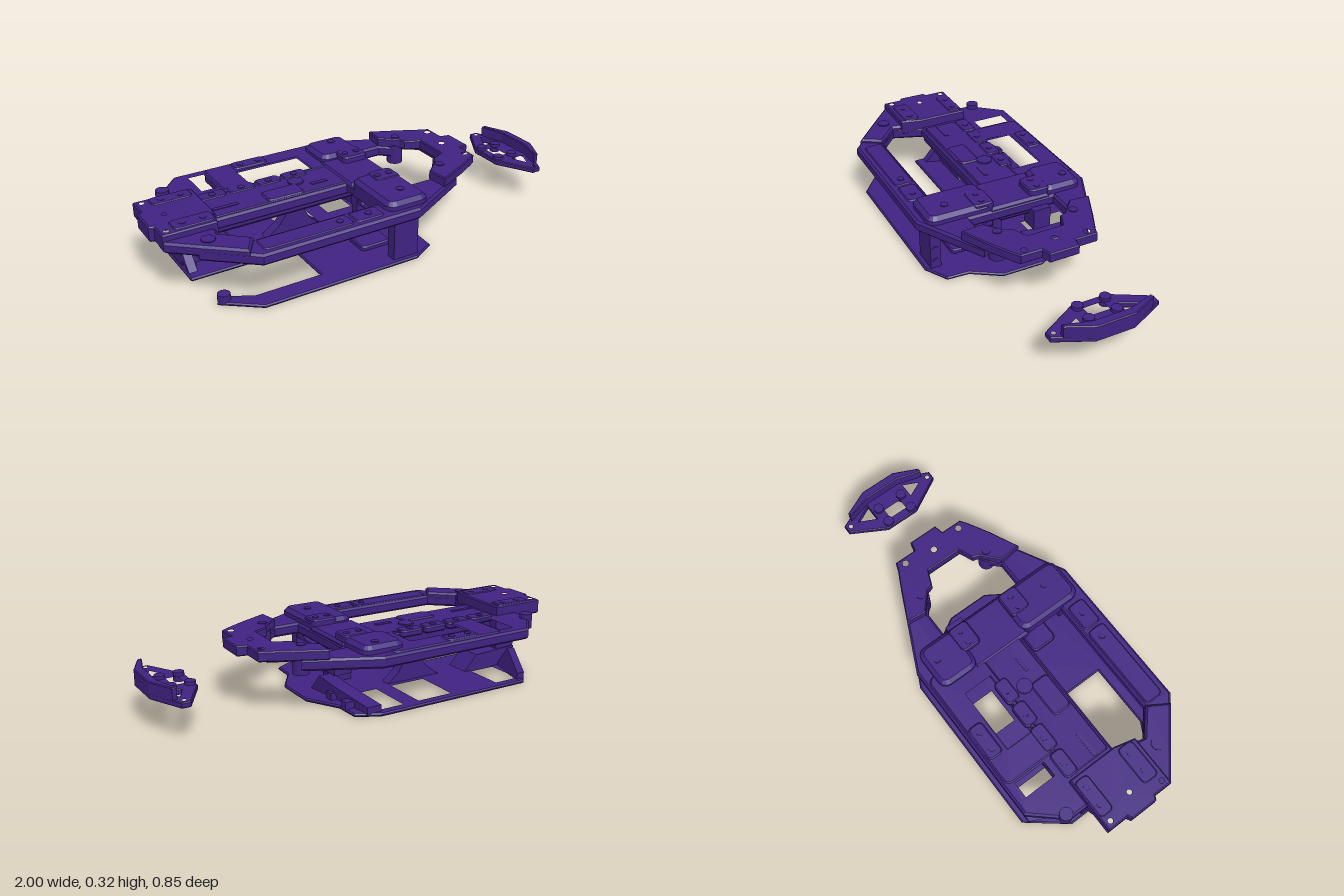
import * as THREE from 'three';

export function createModel() {
  const root = new THREE.Group();
  root.name = 'chassis';
  const purple = new THREE.MeshStandardMaterial({ color: 0x3f2280 });
  purple.name = 'purple';

  const add = (name, geo) => {
    const m = new THREE.Mesh(geo, purple);
    m.name = name;
    root.add(m);
    return m;
  };
  // polygon path from [a, b] pairs
  const trace = (path, pts) => {
    pts.forEach(([a, b], i) => (i ? path.lineTo(a, b) : path.moveTo(a, b)));
    path.closePath();
    return path;
  };
  const rect = (x0, x1, z0, z1) => [[x0, z0], [x1, z0], [x1, z1], [x0, z1]];
  const disc = (x, z, r, n = 12) => Array.from({ length: n }, (_, i) => {
    const a = (i / n) * Math.PI * 2;
    return [x + r * Math.cos(a), z + r * Math.sin(a)];
  });
  // rectangle with rounded corners
  const rounded = (x0, x1, z0, z1, r) => {
    const pts = [];
    [[x1 - r, z1 - r], [x0 + r, z1 - r], [x0 + r, z0 + r], [x1 - r, z0 + r]].forEach(([x, z], q) => {
      for (let i = 0; i <= 3; i++) {
        const a = (q + i / 3) * Math.PI / 2;
        pts.push([x + r * Math.cos(a), z + r * Math.sin(a)]);
      }
    });
    return pts;
  };
  // horizontal plate with an outline in x, z and chamfered edges
  const slab = (name, pts, y0, y1, holes = [], bevel = 0.006) => {
    const flip = (p) => p.map(([x, z]) => [x, -z]);
    const shape = trace(new THREE.Shape(), flip(pts));
    shape.holes = holes.map((h) => trace(new THREE.Path(), flip(h)));
    const geo = new THREE.ExtrudeGeometry(shape, {
      depth: y1 - y0 - 2 * bevel, bevelEnabled: true, bevelThickness: bevel,
      bevelSize: bevel, bevelOffset: -bevel, bevelSegments: 1,
    });
    geo.rotateX(-Math.PI / 2).translate(0, y0 + bevel, 0);
    return add(name, geo);
  };
  // upright plate with an outline in x, y
  const wallXY = (name, pts, z0, z1) => {
    const geo = new THREE.ExtrudeGeometry(trace(new THREE.Shape(), pts), { depth: z1 - z0, bevelEnabled: false });
    return add(name, geo.translate(0, 0, z0));
  };
  // upright plate with an outline in z, y
  const wallZY = (name, pts, x0, x1) => {
    const shape = trace(new THREE.Shape(), pts.map(([z, y]) => [-z, y]));
    const geo = new THREE.ExtrudeGeometry(shape, { depth: x1 - x0, bevelEnabled: false });
    return add(name, geo.rotateY(Math.PI / 2).translate(x0, 0, 0));
  };
  const box = (name, x0, x1, y0, y1, z0, z1) => {
    const geo = new THREE.BoxGeometry(x1 - x0, y1 - y0, z1 - z0);
    return add(name, geo.translate((x0 + x1) / 2, (y0 + y1) / 2, (z0 + z1) / 2));
  };
  const post = (name, x, z, r, y0, y1) =>
    add(name, new THREE.CylinderGeometry(r, r, y1 - y0, 20).translate(x, (y0 + y1) / 2, z));

  // Lower skid plate with one front rail and rear windows
  slab('lowerPlate', [[-0.84, -0.25], [-0.7, -0.425], [0.09, -0.425], [0.2, -0.37], [0.205, -0.25], [0.29, -0.1],
    [0.29, 0.1], [0.205, 0.23], [0.2, 0.335], [0.09, 0.395], [-0.66, 0.395], [-0.82, 0.27], [-0.77, 0.24],
    [-0.66, 0.3], [-0.35, 0.3], [-0.35, 0.05], [-0.84, 0.05]], 0, 0.016,
  [rect(-0.7, -0.56, -0.39, -0.17), rect(-0.31, -0.12, -0.39, -0.16), rect(-0.05, 0.09, -0.39, -0.16)], 0.006);
  post('railEndPost', -0.785, 0.265, 0.028, 0.01, 0.045);
  slab('lowerRib', rounded(-0.1, 0.05, 0.11, 0.24, 0.02), 0.012, 0.038);

  // Wedge walls at the rear of the lower plate, following its tapered corners
  const wedge = [[0.01, 0.01], [-0.07, 0.097], [-0.2, 0.088], [-0.4, 0.045], [-0.4, 0.01]];
  for (const [name, x0, x1, lean] of [['rightWedge', 0.13, 0.2, 0.25], ['leftWedge', -0.83, -0.79, -0.55]]) {
    const pos = wallZY(name, wedge, x0, x1).geometry.attributes.position;
    for (let i = 0; i < pos.count; i++)
      pos.setX(i, pos.getX(i) + lean * Math.min(0, pos.getZ(i) + 0.2));
  }
  wallXY('leftLowerBlock', [[-0.83, 0.01], [-0.53, 0.01], [-0.6, 0.09], [-0.83, 0.1]], -0.19, -0.07);
  for (const z of [-0.165, -0.29]) box('wedgeRib', 0.11, 0.205, 0.01, 0.05, z - 0.02, z + 0.02);

  // Flared strut under the tray
  wallXY('centreStrut', [[-0.42, 0.01], [-0.12, 0.01], [-0.185, 0.065], [-0.21, 0.11], [-0.21, 0.2],
    [-0.31, 0.2], [-0.31, 0.11], [-0.345, 0.065]], -0.14, -0.09);

  // Portal legs and beam between the decks
  for (const [z0, z1] of [[0.32, 0.37], [0.015, 0.06]]) {
    box('portalLeg', -0.02, 0.105, 0.008, 0.22, z0, z1);
    for (const y of [0.052, 0.115]) {
      const boss = new THREE.CylinderGeometry(0.014, 0.014, 0.008, 20).rotateZ(Math.PI / 2);
      add('legBoss', boss.translate(0.105, y, (z0 + z1) / 2));
    }
  }
  wallZY('portalBeam', [[0.37, 0.215], [0.325, 0.208], [0.235, 0.165], [0.1, 0.165], [0.06, 0.2],
    [0.06, 0.155], [0.37, 0.155]], -0.015, 0.1);
  box('hangingMount', 0.1, 0.19, 0.13, 0.23, -0.19, -0.105);

  // Upper deck
  slab('upperDeck', [[-0.84, -0.28], [-0.71, -0.425], [0.08, -0.425], [0.4, -0.275], [0.34, -0.17], [0.28, -0.22],
    [0.16, -0.22], [0.16, 0.2], [0.28, 0.2], [0.34, 0.14], [0.4, 0.25], [0.08, 0.42],
    [-0.67, 0.42], [-0.87, 0.25], [-0.87, -0.02], [-0.75, -0.04], [-0.75, -0.17], [-0.84, -0.18]], 0.215, 0.268,
  [rect(-0.665, -0.57, -0.385, -0.21), rect(-0.45, -0.12, -0.32, -0.16),
    [[-0.71, 0.055], [-0.76, 0.19], [-0.65, 0.285], [-0.06, 0.285], [-0.06, 0.055]]], 0.01);

  // Centre tray, its cover and the rear frame
  slab('centreTray', rounded(-0.71, 0.15, -0.165, 0.05, 0.02), 0.19, 0.272, [], 0.015);
  slab('trayCover', rounded(-0.45, -0.27, -0.06, 0.035, 0.02), 0.262, 0.279);
  for (const [x, w] of [[-0.63, 0.06], [-0.17, 0.04]])
    box('trayRib', x - w, x + w, 0.265, 0.275, -0.035, -0.015);
  slab('batteryFrame', rounded(-0.57, 0.02, -0.41, -0.15, 0.03), 0.22, 0.274,
    [rect(-0.45, -0.12, -0.32, -0.16)], 0.006);
  for (const [x0, x1] of [[-0.7, -0.57], [-0.56, -0.43], [-0.42, -0.3], [-0.29, -0.17]]) {
    slab('trayTab', rounded(x0, x1, -0.19, -0.12, 0.02), 0.245, 0.276);
    post('tabScrew', (x0 + x1) / 2, -0.155, 0.016, 0.27, 0.279);
  }
  post('trayKnob', -0.26, -0.08, 0.036, 0.26, 0.279);
  slab('frameTab', rounded(-0.44, -0.27, -0.405, -0.33, 0.02), 0.255, 0.28);
  for (const x of [-0.4, -0.31]) post('frameScrew', x, -0.365, 0.015, 0.27, 0.283);

  // Raised cross bracket, with a rear and a front lobe
  slab('rearLobe', rounded(-0.06, 0.15, -0.375, -0.18, 0.04), 0.22, 0.306, [], 0.018);
  slab('frontLobe', rounded(-0.06, 0.15, 0.07, 0.388, 0.04), 0.22, 0.306, [], 0.018);
  slab('crossWeb', rect(-0.07, 0.155, -0.2, 0.09), 0.22, 0.28, [], 0.012);
  for (const z of [-0.16, 0.12]) {
    slab('mountPad', rounded(0.02, 0.145, z - 0.05, z + 0.05, 0.02), 0.27, 0.309);
    for (const x of [0.05, 0.11]) post('padScrew', x, z, 0.015, 0.3, 0.312);
  }
  for (const z of [-0.32, 0.28]) post('lobeScrew', 0.065, z, 0.018, 0.3, 0.31);
  slab('frontRailPad', rounded(-0.22, -0.08, 0.3, 0.39, 0.02), 0.255, 0.273);
  slab('frontRailRib', rounded(-0.65, -0.23, 0.3, 0.39, 0.02), 0.255, 0.272, [], 0.004);
  for (const x of [-0.28, -0.14]) post('railScrew', x, 0.345, 0.016, 0.265, 0.276);

  // Nose plate with stepped tip and posts
  slab('nosePlate', [[0.29, -0.325], [0.43, -0.26], [0.53, -0.21], [0.56, -0.2], [0.56, -0.095], [0.605, -0.085],
    [0.605, 0.055], [0.56, 0.065], [0.56, 0.165], [0.53, 0.185], [0.43, 0.24], [0.29, 0.305], [0.28, 0.2],
    [0.36, 0.13], [0.37, 0.1], [0.44, 0.07], [0.44, -0.1], [0.37, -0.13], [0.36, -0.16], [0.28, -0.23]],
  0.262, 0.308, [disc(0.53, -0.165, 0.02), disc(0.53, 0.135, 0.02), disc(0.51, -0.02, 0.02)], 0.005);
  slab('noseUnderside', [[0.4, -0.24], [0.52, -0.19], [0.5, -0.1], [0.47, -0.08], [0.47, 0.05], [0.5, 0.07],
    [0.52, 0.165], [0.4, 0.21], [0.38, 0.14], [0.44, 0.08], [0.44, -0.11], [0.38, -0.17]], 0.25, 0.27);
  for (const z of [-0.2, 0.17]) {
    post('nosePost', 0.36, z, 0.038, 0.18, 0.275);
    post('noseScrew', 0.36, z, 0.02, 0.3, 0.312);
  }

  // Head block with pads and pillar down to the lower plate
  slab('headBlock', [[-0.98, -0.19], [-0.715, -0.19], [-0.715, 0.05], [-0.74, 0.15], [-0.98, 0.15], [-0.98, 0.06],
    [-1.0, 0.05], [-1.0, -0.08], [-0.98, -0.09]], 0.243, 0.314,
  [disc(-0.95, -0.16, 0.018), disc(-0.95, 0.12, 0.018), disc(-0.905, -0.02, 0.018)], 0.006);
  for (const [z, w] of [[-0.15, 0.035], [0.09, 0.04]]) {
    slab('headPad', rounded(-0.92, -0.735, z - w, z + w, 0.02), 0.3, 0.318, [], 0.004);
    for (const x of [-0.87, -0.78]) post('headScrew', x, z, 0.015, 0.31, 0.32);
  }
  slab('headCorner', [[-0.98, 0.1], [-0.74, 0.1], [-0.76, 0.19], [-0.65, 0.29], [-0.71, 0.385], [-0.87, 0.25],
    [-0.98, 0.155]], 0.235, 0.285, [], 0.01);
  post('headBoss', -0.815, -0.285, 0.03, 0.22, 0.29);
  post('headBoss', -0.815, 0.22, 0.03, 0.22, 0.29);
  wallXY('headPillar', [[-0.9, 0.25], [-0.83, 0.14], [-0.83, 0.01], [-0.75, 0.01], [-0.72, 0.13], [-0.72, 0.25]],
    -0.185, -0.09);

  // Detached bumper mount: hexagonal plate, raised outer wall and bosses
  slab('bumperPlate', [[0.885, -0.265], [0.925, -0.265], [1.0, -0.1], [1.0, 0.075], [0.925, 0.235], [0.885, 0.235],
    [0.79, 0.065], [0.79, -0.1]], 0.156, 0.182, [
    [[0.865, -0.115], [0.945, -0.115], [0.905, -0.195]], [[0.865, 0.085], [0.945, 0.085], [0.905, 0.165]],
    rect(0.825, 0.885, -0.065, 0.035), disc(0.905, -0.24, 0.014), disc(0.905, 0.21, 0.014)], 0.004);
  slab('bumperWall', [[0.925, -0.22], [0.945, -0.22], [1.0, -0.1], [1.0, 0.075], [0.945, 0.19], [0.925, 0.19],
    [0.96, 0.07], [0.96, -0.1]], 0.16, 0.233, [], 0.004);
  for (const z of [-0.08, 0.05])
    for (const x of [0.815, 0.9]) post('bumperBoss', x, z, 0.024, 0.156, 0.197);

  return root;
}
